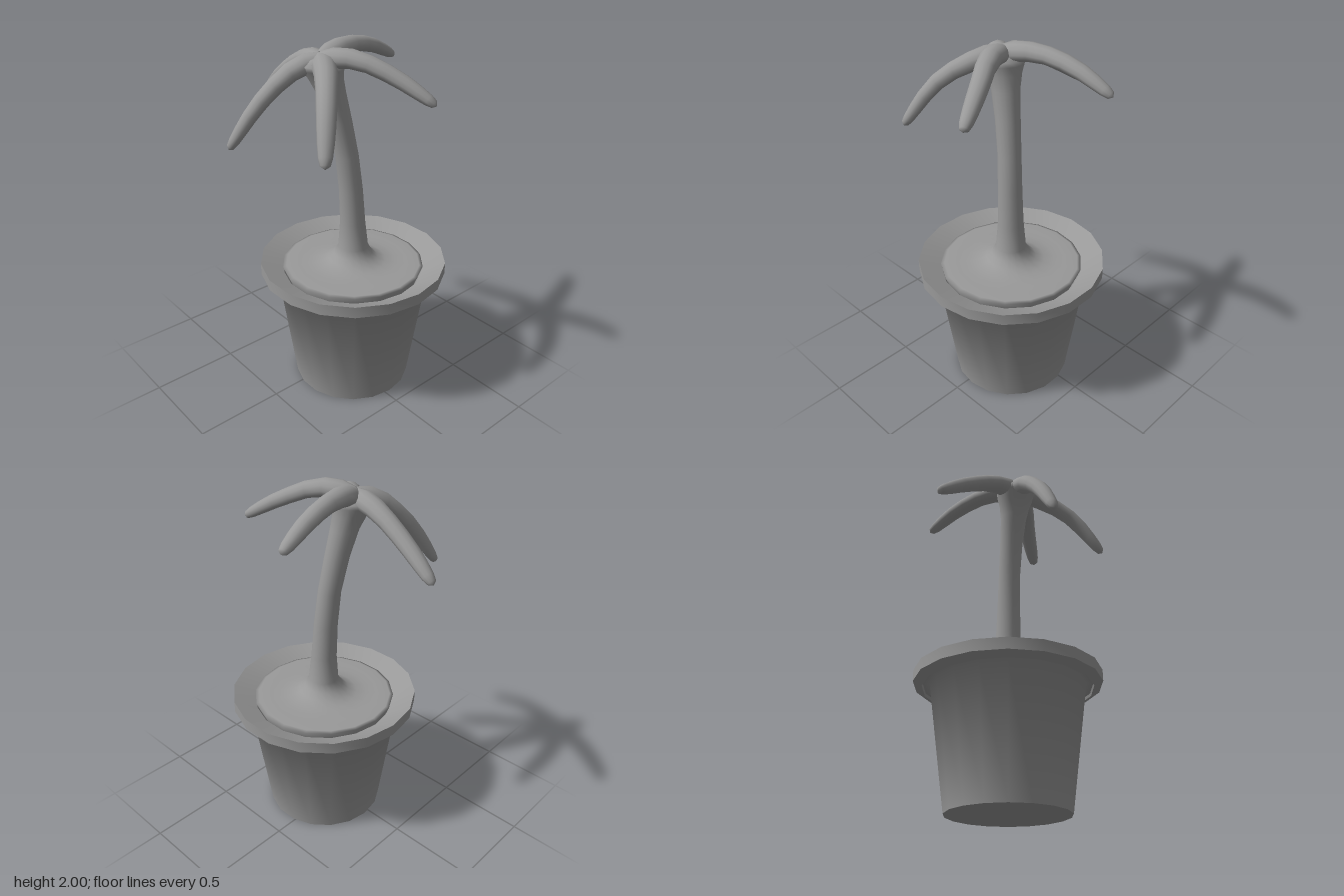
import * as THREE from 'three';
import { toCreasedNormals } from 'three/addons/utils/BufferGeometryUtils.js';

const material = new THREE.MeshStandardMaterial({ color: 0x999999, side: THREE.DoubleSide });
const POT_X = 0.07, POT_Z = -0.033;

function addMesh(parent, name, geometry) {
  const mesh = new THREE.Mesh(geometry, material);
  mesh.name = name;
  parent.add(mesh);
}

// Smooth skin over closed rings of points, ending in a fan at the tip
function loft(rings, tip) {
  const n = rings[0].length;
  const index = [];
  for (let r = 0; r < rings.length - 1; r++) {
    for (let i = 0; i < n; i++) {
      const a = r * n + i, b = r * n + (i + 1) % n;
      index.push(a, b, a + n, b, b + n, a + n);
    }
  }
  const last = (rings.length - 1) * n;
  for (let i = 0; i < n; i++) index.push(last + n, last + i, last + (i + 1) % n);
  const geometry = new THREE.BufferGeometry().setFromPoints([...rings.flat(), tip]);
  geometry.setIndex(index);
  geometry.computeVertexNormals();
  return geometry;
}

// Eighteen-sided turned part; corners wider than the crease angle stay sharp
function turned(profile, crease) {
  const points = profile.map(([r, y]) => new THREE.Vector2(r, y));
  const geometry = new THREE.LatheGeometry(points, 18, Math.PI / 2);
  return toCreasedNormals(geometry, crease).translate(POT_X, 0, POT_Z);
}

// Soil rising into the leaning trunk: horizontal rings as [x, y, z, radius]
function soilAndTrunkGeometry() {
  const soil = [[0.69, 0.385], [0.742, 0.405], [0.748, 0.385], [0.749, 0.31], [0.751, 0.25], [0.758, 0.19]]
    .map(([y, r]) => [POT_X, y, POT_Z, r]);
  const trunk = [
    [0.07, 0.777, -0.033, 0.143], [0.072, 0.808, -0.033, 0.11], [0.073, 0.85, -0.033, 0.086],
    [0.07, 1.0, -0.03, 0.072], [0.064, 1.2, -0.02, 0.067], [0.05, 1.4, -0.003, 0.064],
    [0.027, 1.6, 0.032, 0.068], [0.006, 1.75, 0.067, 0.077], [-0.01, 1.83, 0.09, 0.092],
    [-0.018, 1.88, 0.105, 0.112], [-0.02, 1.905, 0.11, 0.118], [-0.02, 1.935, 0.11, 0.085],
  ];
  const rings = [...soil, ...trunk].map(([x, y, z, r]) => Array.from({ length: 18 }, (_, i) => {
    const a = -i / 18 * Math.PI * 2;
    return new THREE.Vector3(x + r * Math.cos(a), y, z + r * Math.sin(a));
  }));
  return loft(rings, new THREE.Vector3(-0.02, 1.962, 0.11));
}

// Drooping leaf: tapered oval section, flatter below, along a curve
function leafGeometry(path) {
  const points = [[-0.02, 1.925, 0.11], ...path].map(p => new THREE.Vector3(...p));
  const curve = new THREE.CatmullRomCurve3(points);
  const stations = [[0, 0.045], [0.12, 0.064], [0.25, 0.06], [0.4, 0.054], [0.55, 0.051],
    [0.7, 0.047], [0.82, 0.042], [0.92, 0.035], [0.975, 0.025]];
  const up = new THREE.Vector3(0, 1, 0);
  const rings = stations.map(([t, w]) => {
    const center = curve.getPointAt(t), tangent = curve.getTangentAt(t);
    const side = new THREE.Vector3().crossVectors(tangent, up).normalize();
    const normal = new THREE.Vector3().crossVectors(side, tangent);
    return Array.from({ length: 12 }, (_, i) => {
      const a = i / 12 * Math.PI * 2;
      const height = w * Math.sin(a) * (Math.sin(a) > 0 ? 0.9 : 0.75);
      return center.clone().addScaledVector(side, w * Math.cos(a)).addScaledVector(normal, height);
    });
  });
  return loft(rings, curve.getPointAt(1));
}

export function createModel() {
  const model = new THREE.Group();
  model.name = 'pottedPalm';

  // Tapered pot: flat base, wall shading softly into the ledge under the rim
  addMesh(model, 'potBase', turned([[0, 0], [0.34, 0]], 0.5));
  addMesh(model, 'potWall', turned([[0.34, 0], [0.437, 0.7], [0.475, 0.7]], 1.5));

  // Overhanging chamfered rim sloping inward to the soil
  addMesh(model, 'potRim', turned([
    [0.475, 0.7], [0.48, 0.685], [0.53, 0.71], [0.53, 0.775], [0.4, 0.712], [0.385, 0.69],
  ], 0.5));

  addMesh(model, 'soilAndTrunk', soilAndTrunkGeometry());

  // Five leaves spreading from the crown
  const leaves = new THREE.Group();
  leaves.name = 'leaves';
  model.add(leaves);
  const paths = {
    rightLeaf: [[-0.2, 1.885, 0.085], [-0.4, 1.775, 0.065], [-0.6, 1.635, 0.035]],
    backLeaf: [[-0.07, 1.953, -0.1], [-0.107, 1.918, -0.3], [-0.14, 1.825, -0.51]],
    leftBackLeaf: [[0.15, 1.94, 0.035], [0.32, 1.87, -0.07], [0.515, 1.752, -0.172]],
    leftFrontLeaf: [[0.1, 1.895, 0.18], [0.25, 1.795, 0.3], [0.4, 1.55, 0.435]],
    rightFrontLeaf: [[-0.08, 1.88, 0.23], [-0.155, 1.73, 0.39], [-0.24, 1.485, 0.55]],
  };
  for (const [name, path] of Object.entries(paths)) addMesh(leaves, name, leafGeometry(path));

  return model;
}
